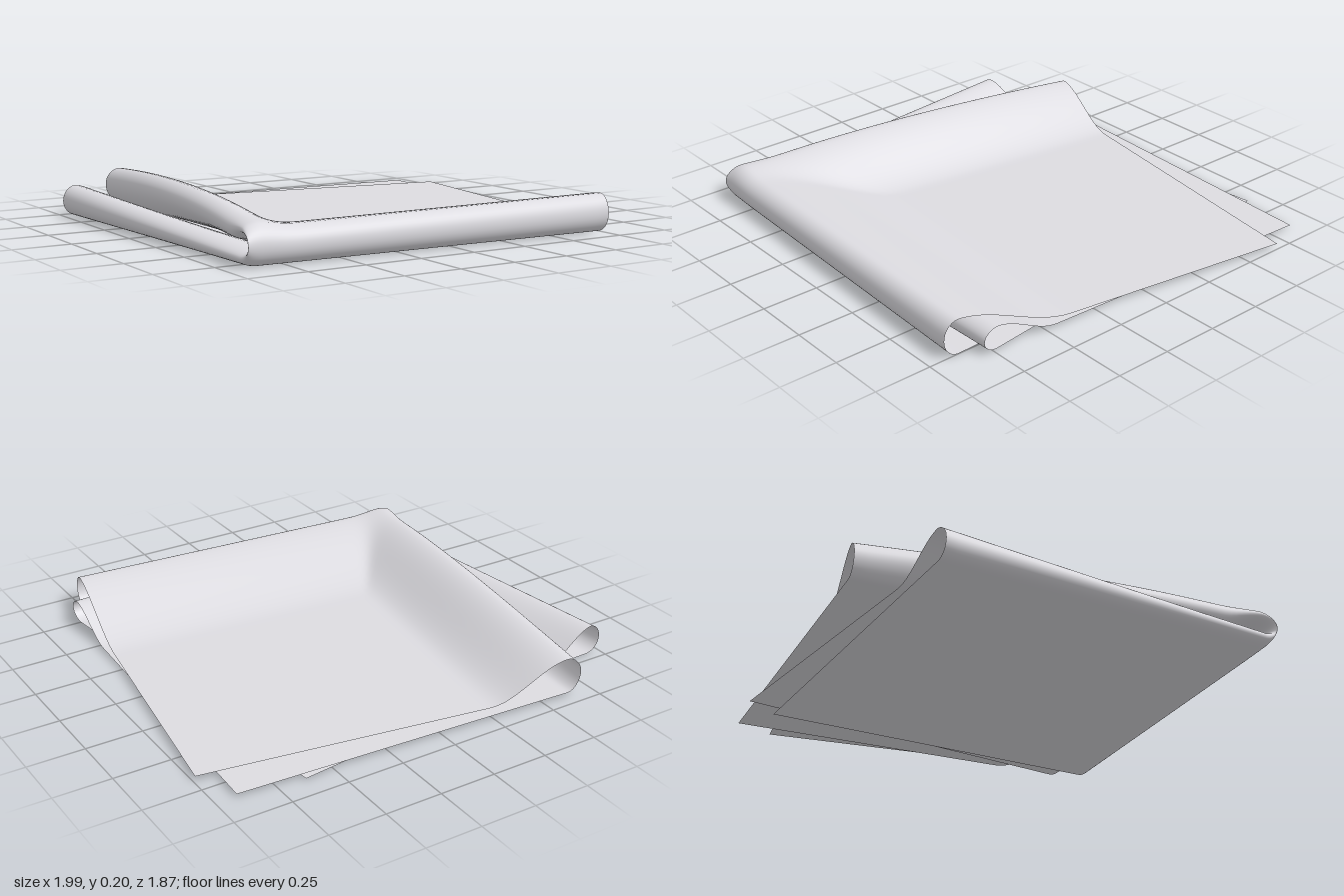
import * as THREE from 'three';

const { lerp, smoothstep } = THREE.MathUtils;
const SIDE = 1.7;   // length of one folded quarter
const ROLL = 0.07;  // radius of the soft fold edges
const HALF = 50;    // grid steps from fold to hem

// Corners [x, z] of the four stacked quarters, from the top layer down.
const CORNER = [-0.92, 0.86];
const UPPER_BACK = [-0.69, -0.94], LOWER_BACK = [-1, -0.7];
const OUTER_FRONT = [0.75, 0.93], INNER_FRONT = [0.83, 0.8];
const layers = {
  top: { backLeft: UPPER_BACK, frontRight: OUTER_FRONT, backRight: [0.99, -0.68] },
  second: { backLeft: UPPER_BACK, frontRight: INNER_FRONT, backRight: [0.91, -0.86] },
  third: { backLeft: LOWER_BACK, frontRight: INNER_FRONT, backRight: [0.63, -0.9] },
  bottom: { backLeft: LOWER_BACK, frontRight: OUTER_FRONT, backRight: [0.71, -0.76] },
};

// Plan position: u runs from left fold to right hem, v from front fold to back hem.
function plan(layer, u, v) {
  return [0, 1].map((k) => lerp(
    lerp(CORNER[k], layer.frontRight[k], u),
    lerp(layer.backLeft[k], layer.backRight[k], u), v));
}

const bump = (d, width) => 1 - smoothstep(d, ROLL * 0.8, width);
const softMax = (a, b) => Math.pow(a ** 6 + b ** 6, 1 / 6);
const round = (d) => (d < ROLL ? Math.sqrt(1 - (1 - d / ROLL) ** 2) : 1);

// Heights of all four layers at (u, v), pinched together along both folds.
function heights(u, v) {
  const dl = u * SIDE, df = v * SIDE;
  const lowRoll = 0.13 * (0.4 + 0.6 * v);
  const topRoll = 0.15 + 0.1 * v * (1 - v) * 1.3 - 0.03 * (1 - v) ** 6;

  const bottom = 0.008;
  const third = 0.014 + lowRoll * bump(dl, 0.36);
  const overLow = plan(layers.second, u, v)[0] - lerp(CORNER[0], LOWER_BACK[0], v);
  const second = 0.02 + softMax(0.1 * bump(df, 0.36), lowRoll * bump(overLow, 0.36));
  const frontRoll = lerp(0.125, 0.142, u) * bump(df, 0.6);
  const top = Math.max(0.027 + softMax(topRoll * bump(dl, 0.42), frontRoll), second + 0.007);

  const pinch = (a, b, k) => {
    const mid = (a + b) / 2;
    return [mid + (a - mid) * k, mid + (b - mid) * k];
  };
  const [t1, s1] = pinch(top, second, round(dl));
  const [h1, b1] = pinch(third, bottom, round(dl));
  const [t, b] = pinch(t1, b1, round(df));
  const [s, h] = pinch(s1, h1, round(df));
  return { top: t, second: s, third: h, bottom: b };
}

// One continuous square of cloth, folded first to the left, then to the front.
function clothGeometry() {
  const positions = [], indices = [];
  const row = 2 * HALF + 1;
  for (let j = -HALF; j <= HALF; j++) {
    for (let i = -HALF; i <= HALF; i++) {
      const u = Math.abs(i / HALF) ** 1.8, v = Math.abs(j / HALF) ** 1.8;
      const name = j >= 0 ? (i >= 0 ? 'top' : 'second') : (i >= 0 ? 'bottom' : 'third');
      const [x, z] = plan(layers[name], u, v);
      // the upper left fold bows slightly inwards
      const bow = j >= 0 ? 0.06 * v * (1 - v) * (1 - u) : 0;
      positions.push(x + bow, heights(u, v)[name], z);
    }
  }
  for (let j = 0; j < row - 1; j++) {
    for (let i = 0; i < row - 1; i++) {
      const a = j * row + i, b = a + 1, c = a + row, d = c + 1;
      indices.push(a, b, d, a, d, c);
    }
  }
  const geometry = new THREE.BufferGeometry();
  geometry.setAttribute('position', new THREE.Float32BufferAttribute(positions, 3));
  geometry.setIndex(indices);
  geometry.computeVertexNormals();
  return geometry;
}

export function createModel() {
  const fabric = new THREE.MeshStandardMaterial({ color: 0xdddce1, side: THREE.DoubleSide });
  fabric.name = 'paleGreyFabric';
  const cloth = new THREE.Mesh(clothGeometry(), fabric);
  cloth.name = 'foldedCloth';
  const group = new THREE.Group();
  group.name = 'foldedNapkin';
  group.add(cloth);
  return group;
}
